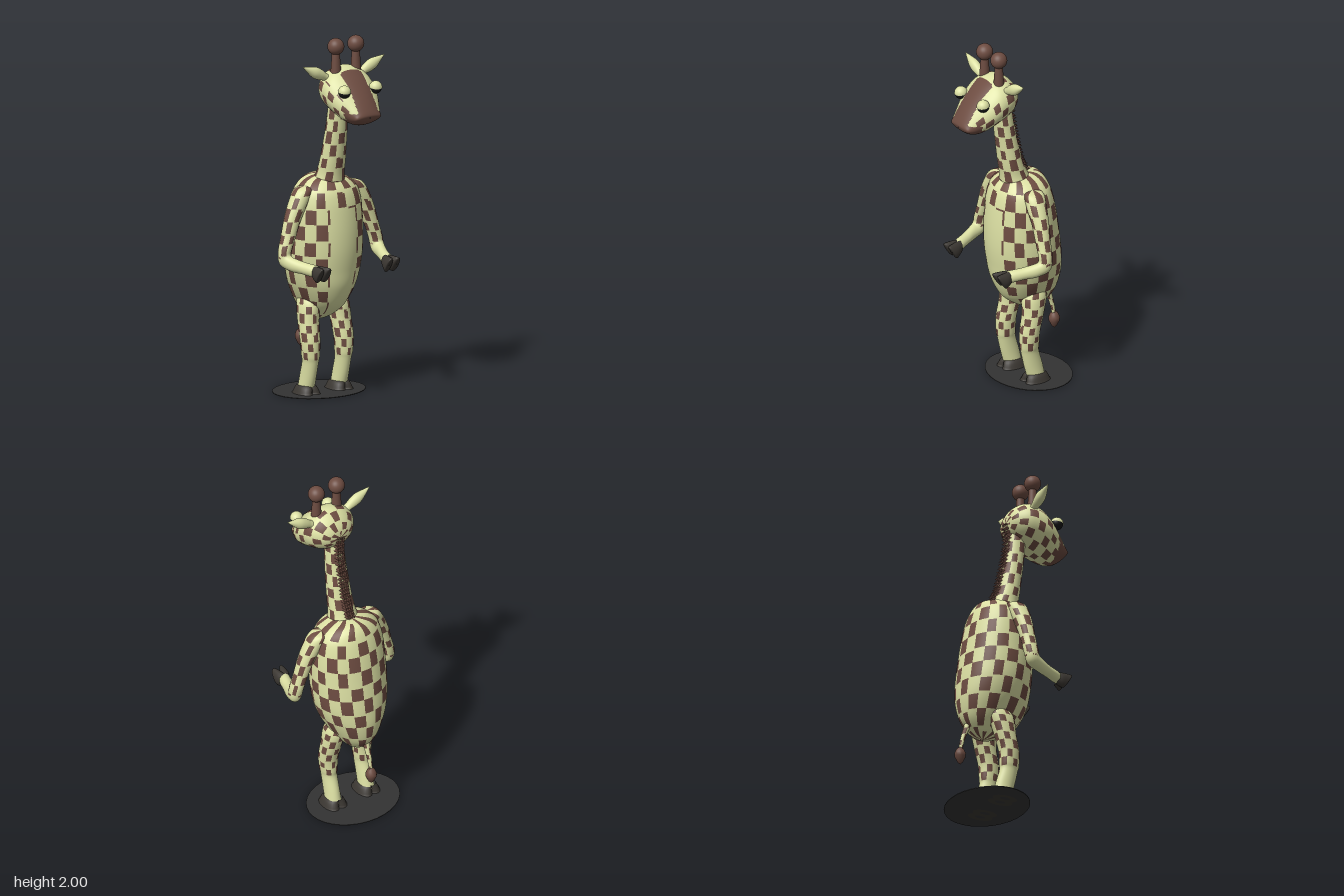
import * as THREE from 'three';

const mat = (color) => new THREE.MeshStandardMaterial({ color });
const cream = mat(0xdde1a4), brown = mat(0x6d4c41), dark = mat(0x333333), hoofMat = mat(0x3b3732), black = mat(0x161616);

const hash = (a, b) => { const s = Math.sin(a * 127.1 + b * 311.7) * 43758.5453; return s - Math.floor(s); };

// Patchwork rule: alternating cells with uneven sizes
function patch(a, b) {
  const i = Math.floor(a), j = Math.floor(b);
  if ((((i + j) % 2) + 2) % 2) return false;
  const w = 0.7 + 0.3 * hash(i, j), h = 0.72 + 0.28 * hash(j + 9, i);
  return a - i < w && b - j < h;
}

// Ring helpers: [centre x, y, z, half width, half depth vector y, z]
const flat = (x, y, rx, zf, zb) => [x, y, (zf + zb) / 2, rx, 0, (zf - zb) / 2];
const tilt = (rx, tz, ty, bz, by) => [0, (ty + by) / 2, (tz + bz) / 2, rx, (ty - by) / 2, (tz - bz) / 2];

function sample(rings, t) {
  const f = t * (rings.length - 1), i = Math.min(Math.floor(f), rings.length - 2), k = f - i;
  const at = (n) => rings[Math.max(0, Math.min(rings.length - 1, n))];
  return rings[0].map((_, c) => {
    const p0 = at(i - 1)[c], p1 = at(i)[c], p2 = at(i + 1)[c], p3 = at(i + 2)[c];
    return p1 + 0.5 * k * (p2 - p0 + k * (2 * p0 - 5 * p1 + 4 * p2 - p3 + k * (3 * (p1 - p2) + p3 - p0)));
  });
}

// Smooth skin over elliptical rings; faces picked by the spot rule become a second mesh
function skin(name, rings, { rows = 40, seg = 32, base = cream, spot = null } = {}) {
  const pos = [], plain = [], spotted = [];
  for (let i = 0; i <= rows; i++) {
    const [cx, cy, cz, rx, by, bz] = sample(rings, i / rows);
    for (let j = 0; j < seg; j++) {
      const a = (j / seg) * Math.PI * 2, s = Math.sin(a), c = Math.cos(a);
      pos.push(cx + Math.max(rx, 0.001) * s, cy + by * c, cz + bz * c);
    }
  }
  for (let i = 0; i < rows; i++) for (let j = 0; j < seg; j++) {
    const a = i * seg + j, b = i * seg + (j + 1) % seg, c = a + seg, d = b + seg;
    const mid = [0, 1, 2].map((k) => (pos[a * 3 + k] + pos[b * 3 + k] + pos[c * 3 + k] + pos[d * 3 + k]) / 4);
    const hit = spot && spot((j + 0.5) / seg, (i + 0.5) / rows, ...mid);
    (hit ? spotted : plain).push(a, c, b, b, c, d);
  }
  const whole = new THREE.BufferGeometry();
  whole.setAttribute('position', new THREE.Float32BufferAttribute(pos, 3));
  whole.setIndex([...plain, ...spotted]);
  whole.computeVertexNormals();
  const g = new THREE.Group();
  g.name = name;
  for (const [part, idx, m] of [['Skin', plain, base], ['Spots', spotted, brown]]) {
    if (!idx.length) continue;
    const geo = new THREE.BufferGeometry();
    geo.setAttribute('position', whole.attributes.position);
    geo.setAttribute('normal', whole.attributes.normal);
    geo.setIndex(idx);
    const mesh = new THREE.Mesh(geo, m);
    mesh.name = name + part;
    g.add(mesh);
  }
  return g;
}

function solid(name, geo, m, x, y, z) {
  const mesh = new THREE.Mesh(geo, m);
  mesh.name = name;
  mesh.position.set(x, y, z);
  return mesh;
}

export function createModel() {
  const model = new THREE.Group();
  model.name = 'standingGiraffe';

  // Oval base
  const base = solid('groundDisc', new THREE.CylinderGeometry(1, 1, 0.004, 32), dark, 0, 0.002, -0.125);
  base.scale.set(0.27, 1, 0.221);
  model.add(base);

  // Torso with a plain belly
  model.add(skin('torso', [
    flat(0, 1.215, 0.003, -0.05, -0.07), flat(0, 1.208, 0.07, 0.02, -0.155), flat(0, 1.185, 0.13, 0.05, -0.19),
    flat(0, 1.14, 0.178, 0.085, -0.215), flat(0, 1.08, 0.2, 0.105, -0.235), flat(0, 1, 0.21, 0.117, -0.253),
    flat(0, 0.9, 0.214, 0.125, -0.27), flat(0, 0.8, 0.214, 0.125, -0.285), flat(0, 0.7, 0.205, 0.115, -0.297),
    flat(0, 0.6, 0.176, 0.098, -0.3), flat(0, 0.5, 0.125, 0.05, -0.282), flat(0, 0.44, 0.082, -0.02, -0.245),
    flat(0, 0.405, 0.045, -0.09, -0.205), flat(0, 0.39, 0.001, -0.145, -0.155),
  ], {
    rows: 104, seg: 100,
    spot: (u, v, x, y) => !(y < 1.04 && Math.min(u, 1 - u) < 0.065) && patch(u * 20 + 0.5, y / 0.088),
  }));

  // Neck
  model.add(skin('neck', [
    flat(0, 1.7, 0.05, 0.1, 0.01), flat(0, 1.6, 0.055, 0.105, -0.005), flat(0, 1.5, 0.06, 0.095, -0.02),
    flat(0, 1.4, 0.066, 0.082, -0.042), flat(0, 1.3, 0.072, 0.068, -0.067), flat(0, 1.22, 0.078, 0.055, -0.1),
    flat(0, 1.15, 0.1, 0.05, -0.14),
  ], { rows: 70, seg: 60, spot: (u, v, x, y) => patch(u * 10 + 0.5, y / 0.07) }));

  // Mane: rows of small pointed tufts down the back of the neck
  const mane = new THREE.Group();
  mane.name = 'mane';
  const ridge = new THREE.CatmullRomCurve3([
    [1.22, -0.098], [1.3, -0.065], [1.4, -0.04], [1.5, -0.018], [1.6, -0.003], [1.7, -0.004],
  ].map(([y, z]) => new THREE.Vector3(0, y, z)));
  const tuftGeo = new THREE.ConeGeometry(0.015, 0.036, 4);
  for (let i = 0; i < 24; i++) for (let j = 0; j < 4; j++) {
    const p = ridge.getPoint(i / 23);
    const tuft = solid('maneTuft', tuftGeo, brown, (j - 1.5) * 0.013, p.y + 0.008 * hash(i, j), p.z - 0.004);
    tuft.rotation.set(-1.9 + 0.3 * hash(j, i), 0, 0);
    mane.add(tuft);
  }
  model.add(mane);

  // Head with forehead stripe, dark mouth and cheek patches
  model.add(skin('head', [
    tilt(0.002, -0.012, 1.71, -0.012, 1.7), tilt(0.07, -0.005, 1.76, 0, 1.66), tilt(0.115, 0.03, 1.81, 0.03, 1.625),
    tilt(0.146, 0.085, 1.84, 0.07, 1.598), tilt(0.157, 0.145, 1.83, 0.13, 1.575), tilt(0.153, 0.2, 1.79, 0.17, 1.56),
    tilt(0.135, 0.25, 1.74, 0.215, 1.542), tilt(0.11, 0.295, 1.685, 0.255, 1.535), tilt(0.09, 0.328, 1.635, 0.295, 1.545),
    tilt(0.07, 0.343, 1.605, 0.328, 1.567), tilt(0.002, 0.342, 1.59, 0.34, 1.585),
  ], {
    rows: 90, seg: 96,
    spot: (u, v, x, y, z) => {
      const up = Math.min(u, 1 - u);
      if (up < 0.25 && Math.abs(x) < 0.066 && z > 0.16) return true;
      if (z > 0.26 && y < 1.615) return true;
      return v < 0.72 && !(z > 0.1 && up < 0.17) && patch(u * 14 + 0.5, v * 11);
    },
  }));

  // Tail and its tuft
  model.add(skin('tail', [
    flat(0, 0.5, 0.024, -0.2, -0.25), flat(0, 0.43, 0.018, -0.238, -0.272),
    flat(0, 0.36, 0.013, -0.265, -0.291), flat(0, 0.29, 0.011, -0.28, -0.302),
  ], { rows: 16, seg: 12, spot: (u, v) => patch(u * 4, v * 6) }));
  const tuftProfile = [[0, -0.055], [0.014, -0.042], [0.03, -0.01], [0.031, 0.01], [0.022, 0.032], [0.008, 0.045], [0, 0.046]];
  model.add(solid('tailTuft', new THREE.LatheGeometry(tuftProfile.map((p) => new THREE.Vector2(...p)), 20), brown, 0, 0.268, -0.292));

  for (const s of [1, -1]) {
    const side = s > 0 ? 'left' : 'right';

    // Arm bent at the elbow, patches on the upper half
    model.add(skin(side + 'Arm', [
      [0.15, 1.165, -0.045, 0.005, 0, 0.005], [0.165, 1.15, -0.042, 0.05, 0, 0.052], [0.2, 1.09, -0.035, 0.056, 0, 0.055],
      [0.245, 1, -0.03, 0.049, 0, 0.047], [0.28, 0.9, -0.025, 0.041, 0, 0.042], [0.303, 0.83, -0.022, 0.038, 0.01, 0.04],
      [0.308, 0.778, -0.01, 0.036, 0.03, 0.03], [0.295, 0.759, 0.04, 0.034, 0.037, 0.005], [0.27, 0.749, 0.1, 0.033, 0.033, 0],
      [0.24, 0.738, 0.18, 0.031, 0.031, 0], [0.237, 0.737, 0.2, 0.001, 0.001, 0],
    ].map(([x, ...r]) => [x * s, ...r]), {
      rows: 70, seg: 48, spot: (u, v, x, y, z) => y > 0.79 && z < 0.03 && patch(u * 8 + 0.5, y / 0.062),
    }));

    // Hoofed hand and foot, two toes each
    for (const t of [1, -1]) {
      model.add(skin(side + 'HandHoof', [
        [0.236 * s + t * 0.008, 0.736, 0.168, 0.024, 0.034, 0], [0.234 * s + t * 0.015, 0.73, 0.195, 0.027, 0.04, 0.008],
        [0.231 * s + t * 0.021, 0.726, 0.222, 0.023, 0.043, 0.02], [0.231 * s + t * 0.025, 0.726, 0.236, 0.016, 0.036, 0.022],
        [0.231 * s + t * 0.025, 0.725, 0.236, 0.001, 0.002, 0.001],
      ], { rows: 16, seg: 16, base: hoofMat }));
      model.add(skin(side + 'FootHoof', [
        flat(0.11 * s + t * 0.01, 0.05, 0.033, -0.04, -0.147), flat(0.11 * s + t * 0.018, 0.036, 0.036, -0.028, -0.153),
        flat(0.11 * s + t * 0.025, 0.012, 0.039, -0.019, -0.163), flat(0.11 * s + t * 0.026, 0, 0.039, -0.018, -0.164),
        flat(0.11 * s + t * 0.026, 0.001, 0.001, -0.09, -0.092),
      ], { rows: 16, seg: 20, base: hoofMat }));
    }

    // Leg, patched down to the knee
    model.add(skin(side + 'Leg', [
      [0.09, 0.57, 0.03, -0.07, -0.16], [0.098, 0.5, 0.056, -0.02, -0.165], [0.108, 0.4, 0.057, -0.012, -0.137],
      [0.112, 0.3, 0.054, 0.005, -0.11], [0.111, 0.22, 0.047, 0.006, -0.107], [0.11, 0.18, 0.041, -0.002, -0.107],
      [0.11, 0.1, 0.04, -0.02, -0.13], [0.11, 0.03, 0.042, -0.04, -0.146],
    ].map(([x, ...r]) => flat(x * s, ...r)), {
      rows: 70, seg: 48, spot: (u, v, x, y) => y > 0.2 && patch(u * 10 + 0.5, y / 0.05),
    }));

    // Horn with ball tip
    model.add(solid(side + 'Horn', new THREE.CylinderGeometry(0.02, 0.031, 0.17, 20), brown, 0.067 * s, 1.86, 0.12));
    model.add(solid(side + 'HornBall', new THREE.SphereGeometry(0.046, 28, 20), brown, 0.067 * s, 1.954, 0.12));

    // Leaf-shaped ear
    const ear = skin(side + 'Ear', [
      [0, 0.03, 0, 0.02, 0, 0.025], [0, 0, 0, 0.021, 0, 0.022], [0, -0.04, 0, 0.03, 0, 0.026],
      [0, -0.08, 0, 0.03, 0, 0.026], [0, -0.125, 0, 0.015, 0, 0.015], [0, -0.165, 0, 0.001, 0, 0.001],
    ], { rows: 24, seg: 20 });
    ear.position.set(0.127 * s, 1.79, 0.1);
    ear.rotation.z = s * (Math.PI / 2 + 0.46);
    model.add(ear);

    // Eye with heavy upper lid
    const eye = new THREE.Group();
    eye.name = side + 'Eye';
    eye.add(solid('eyeball', new THREE.SphereGeometry(0.033, 24, 16), black, 0, 0, 0));
    const lid = solid('eyelid', new THREE.SphereGeometry(0.036, 24, 12, 0, Math.PI * 2, 0, Math.PI / 2), cream, 0, 0.002, 0);
    lid.material = cream.clone();
    lid.material.side = THREE.DoubleSide;
    lid.rotation.x = 0.15;
    eye.add(lid);
    eye.position.set(0.105 * s, 1.727, 0.25);
    model.add(eye);
  }
  return model;
}
